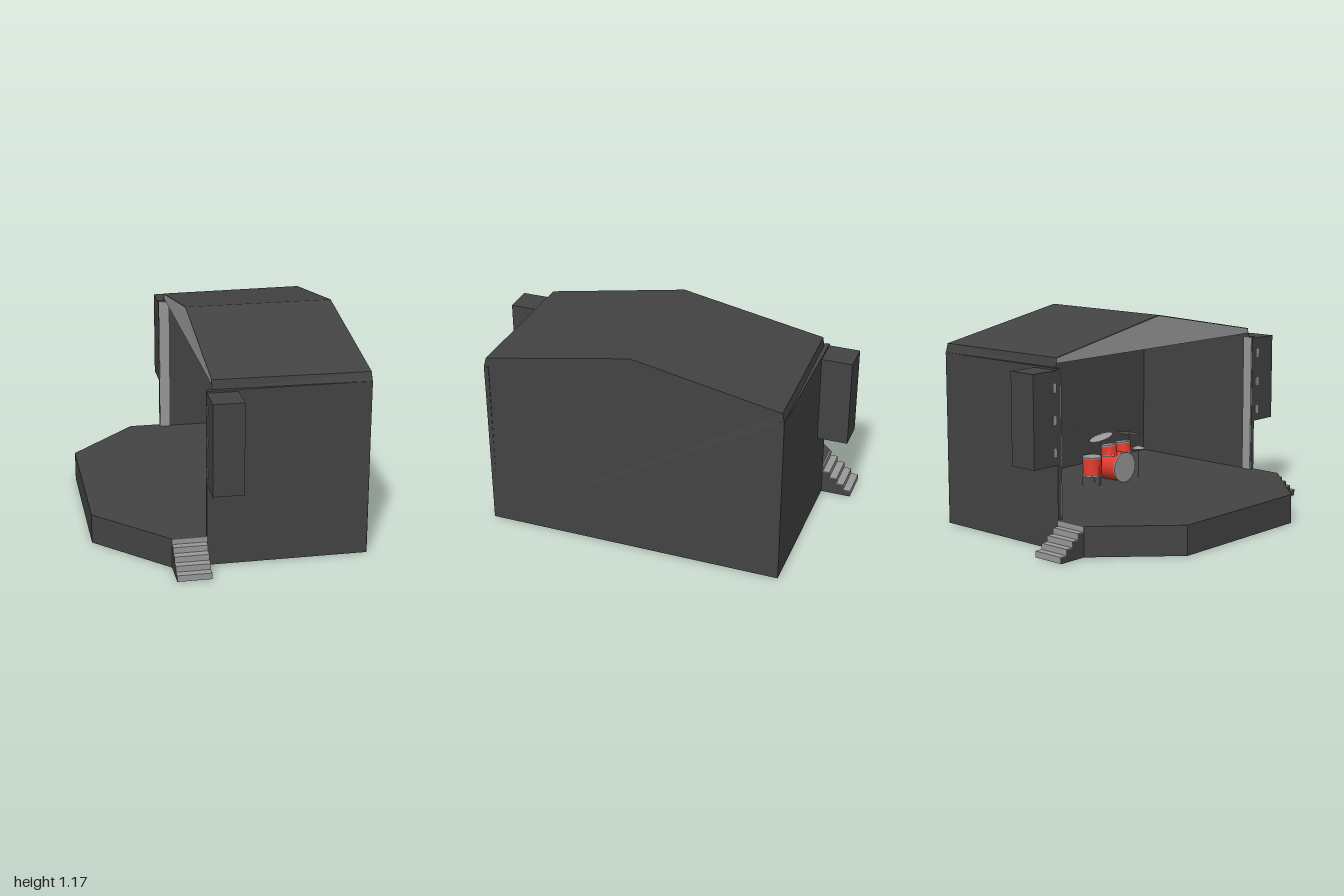
import * as THREE from 'three';

const flat = (name, color) => {
  const m = new THREE.MeshStandardMaterial({ color, side: THREE.DoubleSide });
  m.name = name;
  return m;
};

export function createModel() {
  const dark = flat('charcoal', 0x434343);
  const light = flat('light grey', 0x999999);
  const red = flat('drum red', 0xe63a2c);
  const model = new THREE.Group();
  model.name = 'concertStage';

  const add = (name, geo, mat, pos = [0, 0, 0], parent = model) => {
    const mesh = new THREE.Mesh(geo, mat);
    mesh.name = name;
    mesh.position.set(...pos);
    parent.add(mesh);
    return mesh;
  };
  // Box given by its minimum and maximum on each axis
  const box = (name, mat, [x0, x1], [y0, y1], [z0, z1], parent) =>
    add(name, new THREE.BoxGeometry(x1 - x0, y1 - y0, Math.abs(z1 - z0)), mat,
      [(x0 + x1) / 2, (y0 + y1) / 2, (z0 + z1) / 2], parent);
  // Flat panel as a triangle fan
  const panel = (name, mat, pts) => {
    const v = [];
    for (let i = 1; i < pts.length - 1; i++) v.push(...pts[0], ...pts[i], ...pts[i + 1]);
    const g = new THREE.BufferGeometry();
    g.setAttribute('position', new THREE.Float32BufferAttribute(v, 3));
    g.computeVertexNormals();
    return add(name, g, mat);
  };

  // Stage deck with clipped front corners
  const floorY = 0.165;
  const deck = new THREE.Shape([[-0.72, -0.45], [-0.34, -0.829], [0.71, -0.829],
    [0.71, 0.829], [-0.34, 0.829], [-0.72, 0.45]].map(p => new THREE.Vector2(...p)));
  const deckGeo = new THREE.ExtrudeGeometry(deck, { depth: floorY, bevelEnabled: false });
  deckGeo.rotateX(-Math.PI / 2);
  add('stageDeck', deckGeo, dark);

  // Back wall, leaning in slightly at the top
  panel('backWall', dark, [[0.715, 0, 0.83], [0.715, 0, -0.83], [0.712, 0.97, -0.83],
    [0.708, 1.02, -0.818], [0.70, 1.17, 0], [0.708, 1.02, 0.818], [0.712, 0.97, 0.83]]);

  // Front gable under the roof
  panel('frontGable', light, [[-0.123, 0.99, -0.805], [-0.123, 0.99, 0.805],
    [-0.123, 1.018, 0.798], [-0.123, 1.167, 0], [-0.123, 1.018, -0.798]]);

  for (const s of [1, -1]) {
    // Side wall, light portal lining and roof slope
    box('sideWall', dark, [-0.155, 0.713], [0, 0.97], [s * 0.805, s * 0.83]);
    box('portalLining', light, [-0.153, -0.095], [floorY, 0.968], [s * 0.797, s * 0.805]);
    panel('roofSlope', dark, [[-0.125, 1.02, s * 0.80], [0.708, 1.02, s * 0.818],
      [0.70, 1.17, 0], [-0.125, 1.17, 0]]);
    panel('roofEave', dark, [[-0.125, 0.965, s * 0.806], [0.712, 0.965, s * 0.829],
      [0.708, 1.02, s * 0.818], [-0.125, 1.02, s * 0.80]]);

    // Loudspeaker stack with small front fittings
    box('speakerStack', dark, [-0.155, 0.01], [0.46, 0.96], [s * 0.83, s * 1.0]);
    for (const y of [0.53, 0.70, 0.87])
      box('speakerFitting', light, [-0.16, -0.155], [y - 0.025, y + 0.025], [s * 0.838, s * 0.862]);

    // Stairs: dark blocks faced with light treads and risers
    const stairs = new THREE.Group();
    stairs.name = 'stairs';
    model.add(stairs);
    for (let i = 0; i < 5; i++) {
      const top = floorY * (i + 1) / 5 + (i < 4 ? 0.003 : 0);
      const outer = 1 - i * 0.0425, inner = 0.83, X = [-0.34, -0.156];
      if (i < 4) {
        box('step', dark, X, [0, top - 0.004], [s * inner, s * (outer - 0.003)], stairs);
        box('tread', light, X, [top - 0.004, top], [s * (outer - 0.0425), s * outer], stairs);
      }
      box('riser', light, X, [top - 0.034, top], [s * (outer - 0.003), s * (outer + (i === 4 ? 0.003 : 0))], stairs);
    }
  }

  // Drum kit, facing the open side
  const kit = new THREE.Group();
  kit.name = 'drumKit';
  kit.position.set(0.25, floorY, 0.05);
  model.add(kit);

  // Drum: red shell with light heads, standing on its own axis
  const drum = (name, r, h, pos) => {
    const g = new THREE.Group();
    g.name = name;
    g.position.set(...pos);
    kit.add(g);
    add('shell', new THREE.CylinderGeometry(r, r, h, 24), red, [0, 0, 0], g);
    for (const s of [1, -1])
      add('head', new THREE.CylinderGeometry(r * 1.04, r * 1.04, 0.008, 24), light, [0, s * h / 2, 0], g);
    return g;
  };
  const pole = (name, x, z, y0, y1) =>
    add(name, new THREE.CylinderGeometry(0.003, 0.003, y1 - y0, 6), light, [x, (y0 + y1) / 2, z], kit);

  drum('bassDrum', 0.085, 0.13, [0, 0.088, 0]).rotation.z = Math.PI / 2;
  for (const s of [1, -1]) {
    drum('rackTom', 0.045, 0.06, [0, 0.19, s * 0.06]).rotation.z = -0.12;
    pole('tomPost', 0, s * 0.03, 0.15, 0.19);
  }
  drum('floorTom', 0.055, 0.105, [0.03, 0.11, -0.17]);
  drum('snareDrum', 0.05, 0.045, [0.12, 0.12, 0.11]);
  pole('snareStand', 0.12, 0.11, 0, 0.1);
  for (let i = 0; i < 3; i++) {
    const a = i * Math.PI * 2 / 3 + Math.PI;
    pole('floorTomLeg', 0.03 + 0.058 * Math.cos(a), -0.17 + 0.058 * Math.sin(a), 0, 0.12);
  }

  // Cymbals on stands
  for (const [x, y, z, r, tilt] of [[0, 0.27, 0.11, 0.07, 0.3], [-0.01, 0.285, -0.14, 0.07, -0.3],
    [-0.04, 0.18, 0.15, 0.04, 0]]) {
    const c = add('cymbal', new THREE.CylinderGeometry(0.012, r, 0.012, 24), light, [x, y, z], kit);
    c.rotation.set(tilt, 0, tilt ? -0.15 : 0);
    pole('cymbalStand', x, z, 0, y);
  }

  // Drummer's stool
  add('stool', new THREE.CylinderGeometry(0.04, 0.04, 0.02, 20), dark, [0.21, 0.11, 0], kit);
  pole('stoolPost', 0.21, 0, 0, 0.1);

  return model;
}
